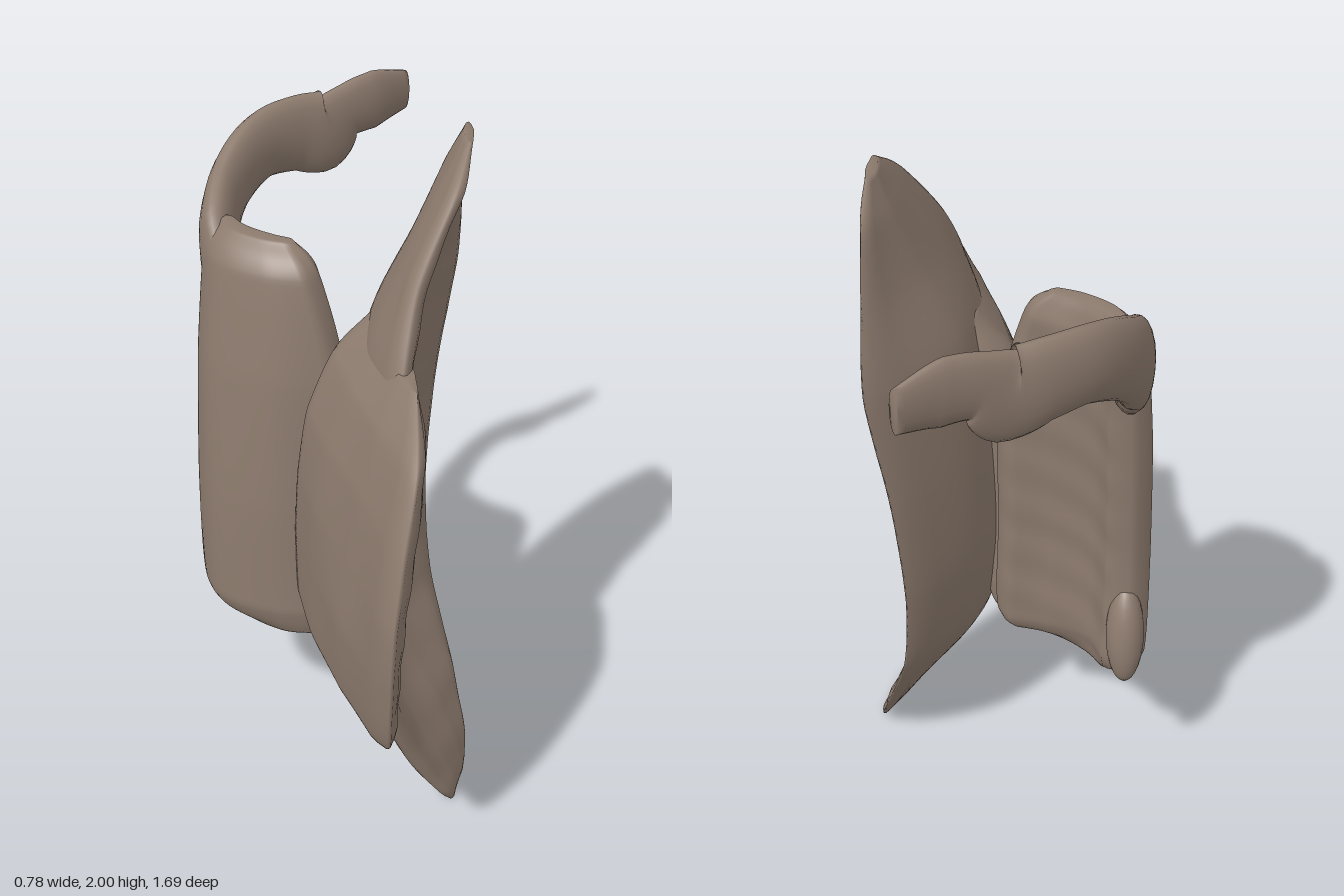
import * as THREE from 'three';

const V = (x, y, z) => new THREE.Vector3(x, y, z);

// Joins equal-sized closed rings into a smooth solid, capped across both ends
function loft(rings) {
  const n = rings[0].length, pos = [], idx = [];
  rings.forEach(r => r.forEach(p => pos.push(p.x, p.y, p.z)));
  for (let j = 0; j < rings.length - 1; j++) {
    for (let i = 0; i < n; i++) {
      const a = j * n + i, b = j * n + (i + 1) % n;
      idx.push(a, b, a + n, b, b + n, a + n);
    }
  }
  const last = (rings.length - 1) * n;
  for (let i = 0; i < n / 2 - 1; i++) {
    const a = i, b = i + 1, c = n - 2 - i, d = n - 1 - i;
    idx.push(a, c, b, a, d, c);
    idx.push(last + a, last + b, last + c, last + a, last + c, last + d);
  }
  // Turn the faces outwards if the enclosed volume is negative
  const at = k => V(pos[3 * k], pos[3 * k + 1], pos[3 * k + 2]);
  let vol = 0;
  for (let k = 0; k < idx.length; k += 3) {
    vol += at(idx[k]).dot(at(idx[k + 1]).cross(at(idx[k + 2])));
  }
  if (vol < 0) idx.reverse();
  const g = new THREE.BufferGeometry();
  g.setAttribute('position', new THREE.Float32BufferAttribute(pos, 3));
  g.setIndex(idx);
  g.computeVertexNormals();
  return g;
}

// Upright curved slab: profile gives four half thicknesses across it,
// and each section is height, thickness scale, then four x, z pairs
function wing(profile, sections, rows = 64, cols = 28) {
  const tracks = [2, 4, 6, 8].map(k => new THREE.CatmullRomCurve3(
    sections.map(s => V(s[k], s[0], s[k + 1])), false, 'catmullrom', 0.4));
  const rings = [];
  for (let j = 0; j <= rows; j++) {
    const t = j / rows, f = t * (sections.length - 1);
    const s = Math.min(Math.floor(f), sections.length - 2);
    const scale = THREE.MathUtils.lerp(sections[s][1], sections[s + 1][1], f - s);
    const line = new THREE.CatmullRomCurve3(tracks.map(c => c.getPoint(t)), false, 'centripetal');
    const left = [], right = [];
    for (let i = 0; i <= cols; i++) {
      const u = i / cols, p = line.getPoint(u), d = line.getTangent(u);
      const q = Math.min(Math.floor(u * 3), 2);
      const edge = Math.min(1, 0.2 + Math.sqrt(Math.min(u, 1 - u) * 9));
      const ripple = 0.002 * Math.sin(p.y * 40 + u * 5) * edge;
      const h = THREE.MathUtils.lerp(profile[q], profile[q + 1], u * 3 - q) * edge * scale;
      const nrm = V(-d.z, 0, d.x).normalize();
      left.push(p.clone().addScaledVector(nrm, h + ripple));
      right.unshift(p.clone().addScaledVector(nrm, -h));
    }
    rings.push([...left, ...right]);
  }
  return loft(rings);
}

// Flattened limb: each station is x, y, z, half height, half thickness
function limb(stations, steps = 54, sides = 20) {
  const path = new THREE.CatmullRomCurve3(stations.map(s => V(s[0], s[1], s[2])));
  const rings = [];
  for (let j = 0; j <= steps; j++) {
    const t = j / steps, f = t * (stations.length - 1);
    const s = Math.min(Math.floor(f), stations.length - 2);
    const mix = k => THREE.MathUtils.lerp(stations[s][k], stations[s + 1][k], f - s);
    const p = path.getPoint(t), d = path.getTangent(t);
    const side = V(-d.z, 0, d.x).normalize(), up = side.clone().cross(d).normalize();
    const ring = [];
    for (let i = 0; i < sides; i++) {
      const a = (i + 0.5) / sides * Math.PI * 2;
      ring.push(p.clone().addScaledVector(up, Math.sin(a) * mix(3))
        .addScaledVector(side, Math.cos(a) * mix(4)));
    }
    rings.push(ring);
  }
  return loft(rings);
}

export function createModel() {
  const group = new THREE.Group();
  const clay = new THREE.MeshStandardMaterial({ color: 0x8d7b6e });
  clay.name = 'warm brown';
  const add = (name, geometry) => {
    const mesh = new THREE.Mesh(geometry, clay);
    mesh.name = name;
    group.add(mesh);
    return mesh;
  };

  // Tall dished plate, flaring outwards at its top, bottom and back edge
  add('tallPlate', wing([0.03, 0.05, 0.05, 0.02], [
    [0.00, 0.25, 0.30, 0.34, 0.32, 0.27, 0.35, 0.21, 0.38, 0.14],
    [0.06, 0.5, 0.26, 0.37, 0.29, 0.28, 0.33, 0.18, 0.385, 0.08],
    [0.22, 0.8, 0.17, 0.41, 0.20, 0.27, 0.26, 0.13, 0.365, -0.04],
    [0.50, 1, 0.08, 0.46, 0.06, 0.22, 0.13, 0.03, 0.31, -0.18],
    [0.80, 1, 0.07, 0.46, 0.04, 0.20, 0.09, 0.00, 0.30, -0.25],
    [1.15, 1, 0.09, 0.46, 0.06, 0.20, 0.11, -0.03, 0.33, -0.29],
    [1.50, 1, 0.11, 0.42, 0.10, 0.20, 0.16, -0.05, 0.385, -0.31],
    [1.72, 0.8, 0.16, 0.32, 0.19, 0.14, 0.25, -0.05, 0.38, -0.26],
    [1.91, 0.6, 0.27, 0.20, 0.29, 0.08, 0.32, -0.05, 0.37, -0.19],
    [2.00, 0.25, 0.33, 0.07, 0.335, 0.02, 0.34, -0.02, 0.35, -0.07]
  ]));

  // Forward wedge, sharp at its rim and thick where it meets the other wings
  add('frontFin', wing([0.025, 0.085, 0.105, 0.10], [
    [0.52, 0.4, 0.05, 0.52, 0.03, 0.40, 0.00, 0.24, -0.02, 0.00],
    [0.62, 0.9, 0.03, 0.77, 0.01, 0.50, -0.02, 0.25, -0.04, 0.00],
    [0.85, 1, 0.025, 0.83, 0.01, 0.52, -0.01, 0.26, -0.04, 0.00],
    [1.05, 1, 0.03, 0.84, 0.035, 0.52, 0.00, 0.26, -0.03, 0.00],
    [1.25, 0.95, 0.06, 0.79, 0.065, 0.52, 0.03, 0.26, -0.01, 0.00],
    [1.42, 0.7, 0.10, 0.70, 0.095, 0.48, 0.07, 0.26, 0.04, 0.00],
    [1.53, 0.25, 0.13, 0.50, 0.12, 0.40, 0.11, 0.26, 0.10, 0.03]
  ]));

  // Broad side wing, curving backwards
  add('sideWing', wing([0.06, 0.08, 0.08, 0.06], [
    [0.45, 0.4, -0.06, 0.03, -0.15, 0.00, -0.25, -0.09, -0.30, -0.20],
    [0.54, 1, 0.02, 0.02, -0.15, -0.02, -0.29, -0.11, -0.33, -0.28],
    [0.90, 1, 0.02, 0.00, -0.16, -0.03, -0.29, -0.12, -0.335, -0.27],
    [1.30, 0.95, 0.02, -0.01, -0.15, -0.05, -0.28, -0.15, -0.32, -0.29],
    [1.60, 0.8, -0.05, -0.04, -0.16, -0.09, -0.26, -0.18, -0.30, -0.31],
    [1.68, 0.25, -0.11, -0.09, -0.18, -0.13, -0.25, -0.20, -0.28, -0.28]
  ]));

  // Curved arm sweeping up and behind from the side wing, notched near its tip
  add('hookArm', limb([
    [-0.30, 1.50, -0.25, 0.10, 0.05],
    [-0.295, 1.60, -0.34, 0.12, 0.055],
    [-0.25, 1.69, -0.46, 0.105, 0.05],
    [-0.15, 1.755, -0.58, 0.105, 0.048],
    [-0.04, 1.76, -0.65, 0.115, 0.043],
    [0.05, 1.75, -0.685, 0.13, 0.038],
    [0.12, 1.795, -0.72, 0.085, 0.032],
    [0.21, 1.81, -0.765, 0.09, 0.03],
    [0.315, 1.81, -0.835, 0.06, 0.018]
  ]));

  // Knob low on the back edge of the side wing
  const knob = add('lowerKnob', new THREE.SphereGeometry(1, 20, 14));
  knob.scale.set(0.055, 0.16, 0.06);
  knob.position.set(-0.32, 0.65, -0.275);
  knob.rotation.x = 0.15;

  return group;
}
